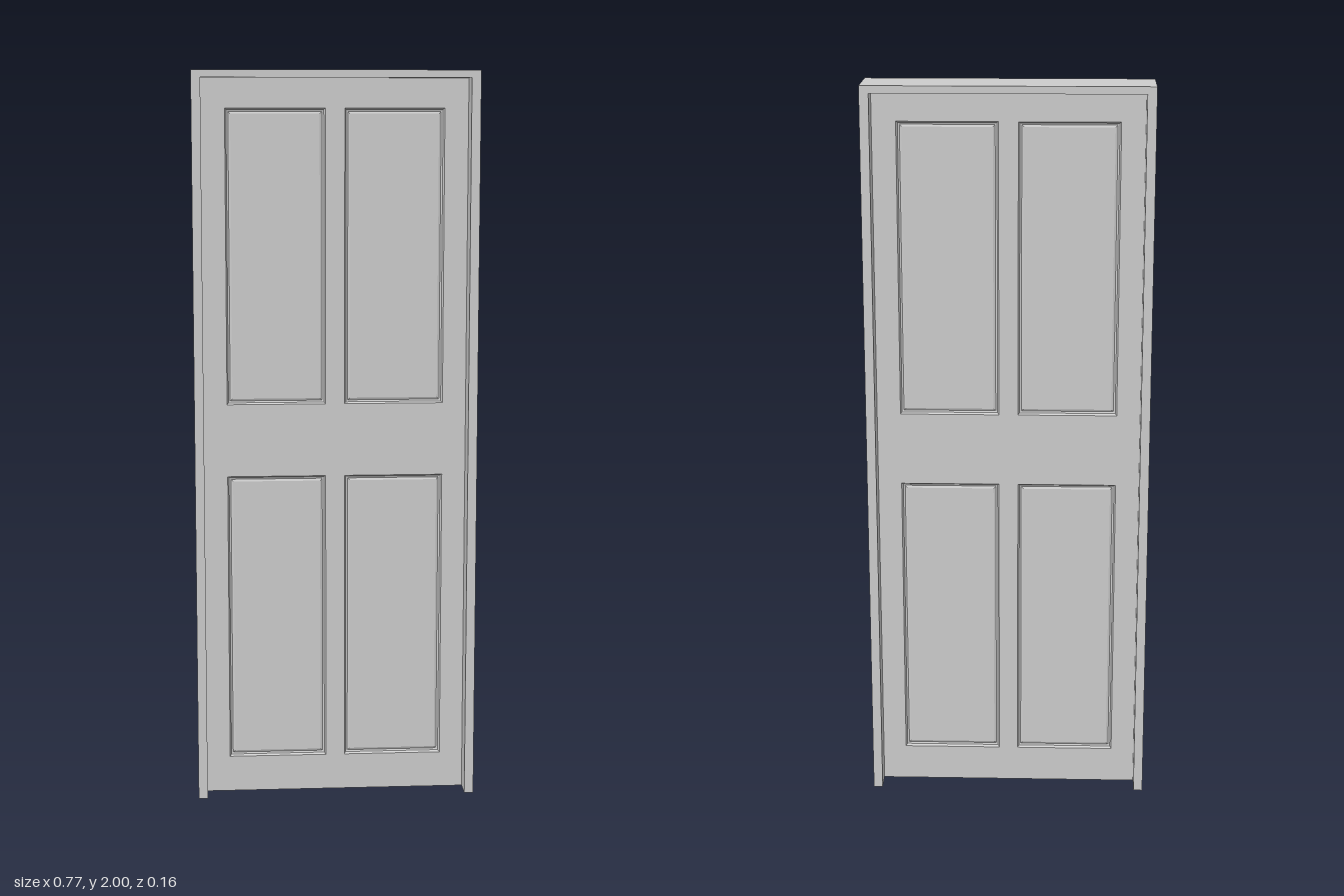
import * as THREE from 'three';

const material = new THREE.MeshStandardMaterial({ color: 0xcccccc, flatShading: true });

function addMesh(parent, name, geometry) {
  const mesh = new THREE.Mesh(geometry, material);
  mesh.name = name;
  parent.add(mesh);
  return mesh;
}

// Corners of a rectangle, counter-clockwise seen from +z
const rect = (w, h, z) => [[-w / 2, -h / 2, z], [w / 2, -h / 2, z], [w / 2, h / 2, z], [-w / 2, h / 2, z]];

// Joins successive rectangles with quads, optionally closing the last one
function loftRects(loops, capped) {
  const pos = [];
  const quad = (a, b, c, d) => pos.push(...a, ...b, ...c, ...a, ...c, ...d);
  for (let k = 0; k < loops.length - 1; k++) {
    for (let i = 0; i < 4; i++) {
      const j = (i + 1) % 4;
      quad(loops[k][i], loops[k][j], loops[k + 1][j], loops[k + 1][i]);
    }
  }
  if (capped) quad(...loops[loops.length - 1]);
  const geometry = new THREE.BufferGeometry();
  geometry.setAttribute('position', new THREE.Float32BufferAttribute(pos, 3));
  geometry.computeVertexNormals();
  return geometry;
}

function polygon(points) {
  return new THREE.Shape(points.map(([x, y]) => new THREE.Vector2(x, y)));
}

export function createModel() {
  const model = new THREE.Group();
  model.name = 'panelDoor';

  // Frame: two jambs and a head, open at the floor
  const W = 0.385, H = 2, D = 0.164, w = 0.36, h = 1.98;
  const frame = new THREE.ExtrudeGeometry(
    polygon([[-W, 0], [-w, 0], [-w, h], [w, h], [w, 0], [W, 0], [W, H], [-W, H]]),
    { depth: D, bevelEnabled: false });
  frame.translate(0, 0, -D / 2);
  addMesh(model, 'frame', frame);

  // Door leaf: edge band plus two identical faces
  const t = 0.02;
  const door = new THREE.Group();
  door.name = 'door';
  model.add(door);
  const edge = addMesh(door, 'doorEdge', loftRects([rect(2 * w, h, -t), rect(2 * w, h, t)], false));
  edge.position.y = h / 2;

  const panelW = 0.27, panelH = 0.8;
  const centres = [];
  for (const x of [-0.161, 0.161]) for (const y of [0.5, 1.5]) centres.push([x, y]);

  // Stiles and rails with four openings
  const faceShape = polygon([[-w, 0], [w, 0], [w, h], [-w, h]]);
  for (const [x, y] of centres) {
    const corners = rect(panelW, panelH, 0).map(([px, py]) => new THREE.Vector2(px + x, py + y));
    faceShape.holes.push(new THREE.Path(corners.reverse()));
  }
  const faceGeometry = new THREE.ShapeGeometry(faceShape);

  // Moulding section (inset, depth) running into the sunken panel
  const section = [[0, 0], [0.004, 0.008], [0.009, 0.01], [0.015, 0.007]];
  const panelGeometry = loftRects(
    section.map(([inset, depth]) => rect(panelW - 2 * inset, panelH - 2 * inset, -depth)), true);

  for (const side of ['front', 'back']) {
    const face = new THREE.Group();
    face.name = side + 'Face';
    face.rotation.y = side === 'front' ? 0 : Math.PI;
    door.add(face);
    addMesh(face, 'stilesAndRails', faceGeometry).position.z = t;
    for (const [x, y] of centres) addMesh(face, 'panel', panelGeometry).position.set(x, y, t);
  }
  return model;
}
